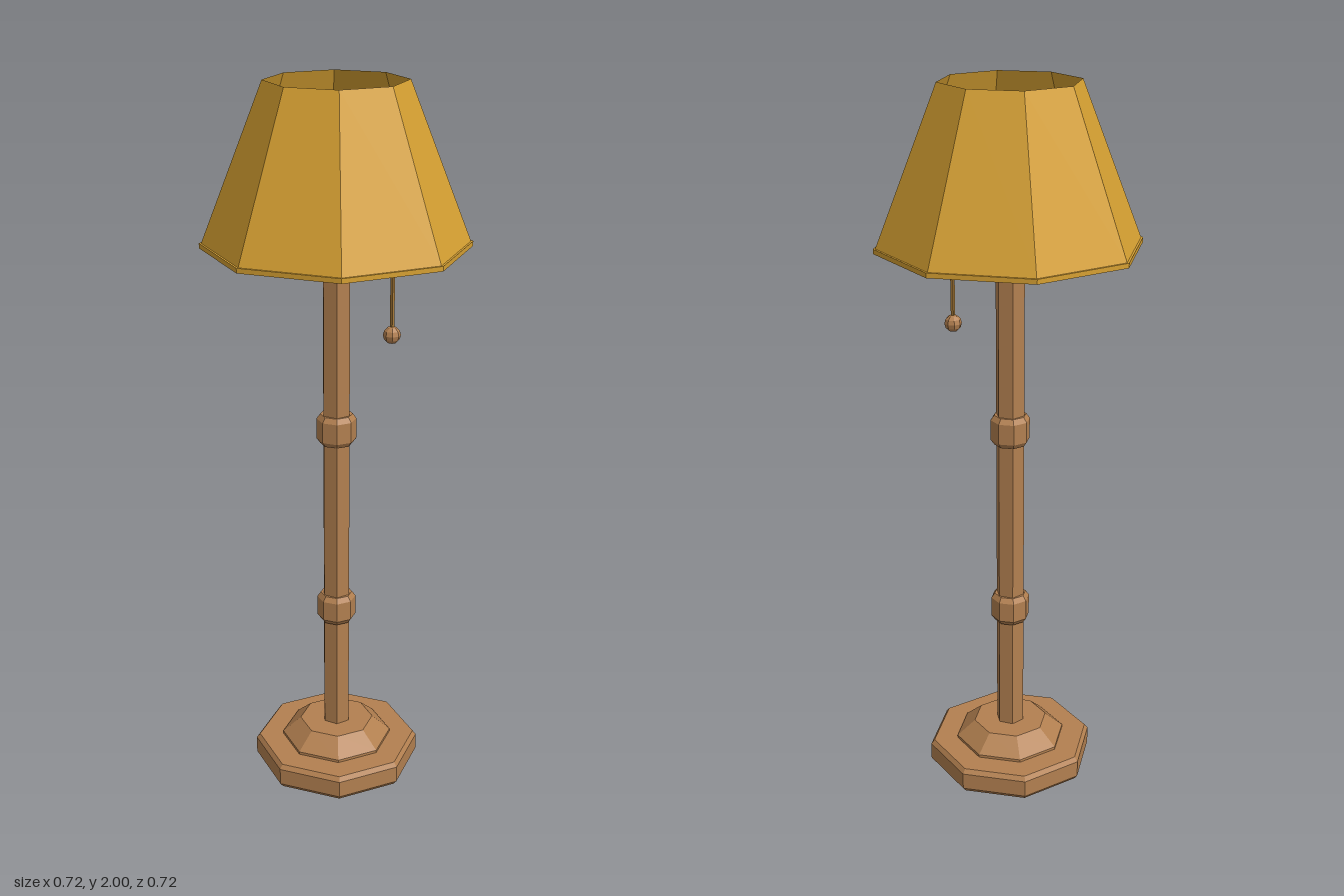
import * as THREE from 'three';

const material = (color, side = THREE.FrontSide) =>
  new THREE.MeshStandardMaterial({ color, flatShading: true, side });

const wood = material(0xb38050);
const shadeCloth = material(0xd6a032, THREE.DoubleSide);
const diffuserGlass = material(0xdeb066);
const bulbGlass = material(0xf2dca0);
const cordBrass = material(0xa87a38);

export function createModel() {
  const lamp = new THREE.Group();
  lamp.name = 'floorLamp';

  const add = (name, geometry, mat, x, y, z) => {
    const mesh = new THREE.Mesh(geometry, mat);
    mesh.name = name;
    mesh.position.set(x, y, z);
    lamp.add(mesh);
    return mesh;
  };

  // Faceted turning from [radius, height] pairs, bottom to top
  const turned = (name, profile, mat, y = 0) =>
    add(name, new THREE.LatheGeometry(profile.map(([r, h]) => new THREE.Vector2(r, h)), 8), mat, 0, y, 0);

  // Prism running from y0 to y1
  const rod = (name, radius, y0, y1, sides, mat, x = 0, z = 0) =>
    add(name, new THREE.CylinderGeometry(radius, radius, y1 - y0, sides), mat, x, (y0 + y1) / 2, z);

  // Octagonal foot: bevelled plinth and sloped upper step
  turned('basePlinth', [[0, 0], [0.23, 0], [0.24, 0.013], [0.24, 0.062], [0.23, 0.075], [0, 0.075]], wood);
  turned('baseStep', [[0.16, 0.075], [0.16, 0.083], [0.107, 0.13], [0, 0.13]], wood);

  // Hexagonal post with two collars
  rod('post', 0.041, 0.12, 1.575, 6, wood);
  const collar = [[0.03, -0.043], [0.045, -0.043], [0.055, -0.029], [0.055, 0.029], [0.045, 0.043], [0.03, 0.043]];
  for (const [name, y] of [['lowerCollar', 0.51], ['upperCollar', 1.06]]) turned(name, collar, wood, y);

  // Tapered shade, open on top, with a rim band and closed underside
  turned('shade', [[0.354, 1.583], [0.188, 2]], shadeCloth);
  turned('shadeRim', [[0, 1.57], [0.36, 1.57], [0.36, 1.583], [0.35, 1.583]], shadeCloth);

  // Inside the shade: diffuser, socket and bulb
  turned('diffuser', [[0.345, 1.585], [0, 1.585]], diffuserGlass);
  rod('bulbSocket', 0.035, 1.58, 1.65, 8, wood);
  add('bulb', new THREE.SphereGeometry(0.0856, 8, 5), bulbGlass, 0, 1.7, 0);

  // Pull cord with a wooden bead
  rod('pullCord', 0.006, 1.36, 1.6, 4, cordBrass, 0.144, 0.072);
  add('pullBead', new THREE.SphereGeometry(0.024, 8, 6), wood, 0.144, 1.35, 0.072);

  return lamp;
}
